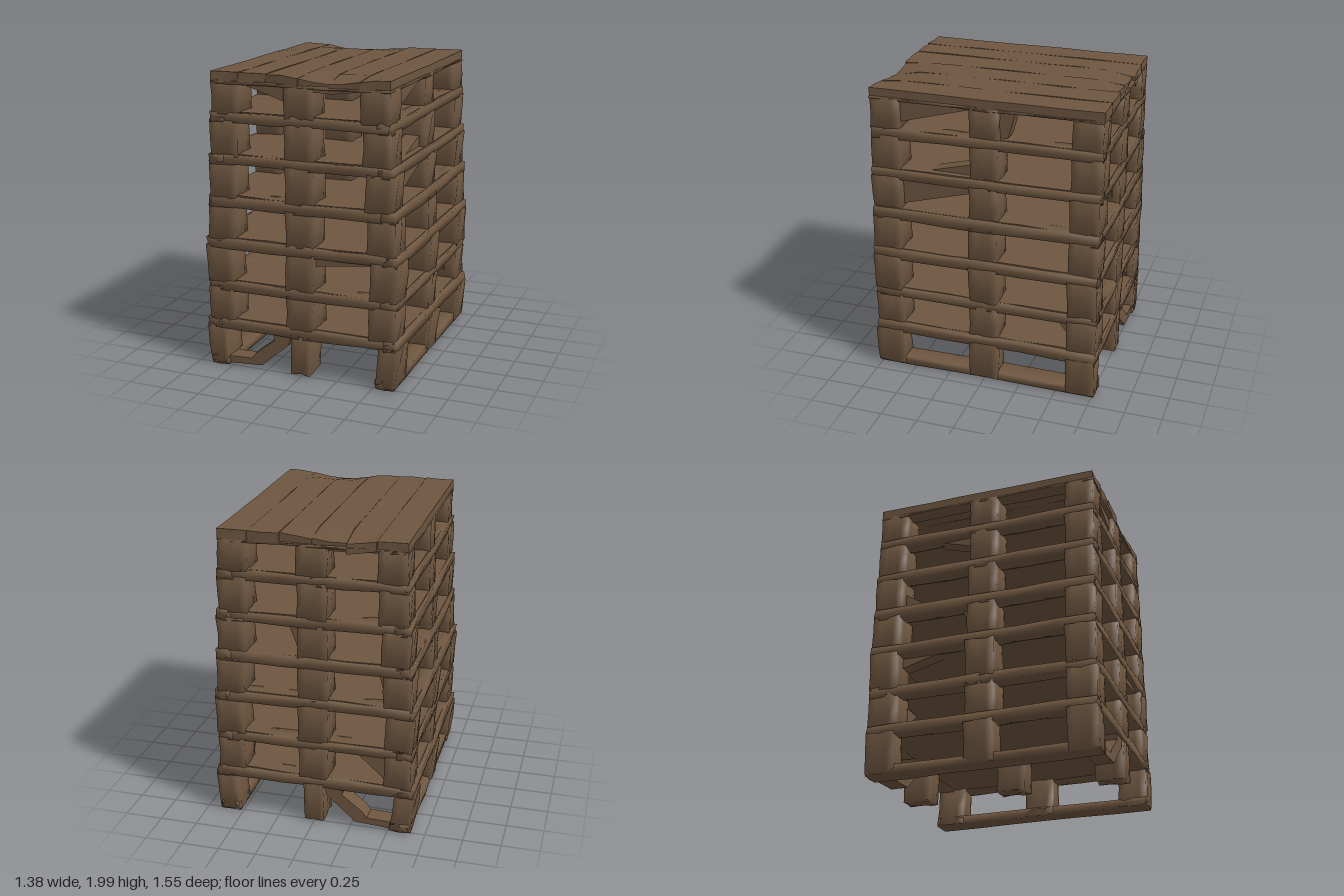
import * as THREE from 'three';
import { mergeVertices, toCreasedNormals } from 'three/addons/utils/BufferGeometryUtils.js';

// small seeded generator so the wear is always the same
let seed = 11;
const rand = () => {
  seed = (seed * 16807) % 2147483647;
  return seed / 2147483647 - 0.5;
};

// one entry per pallet: deck underside, deck top, half width, block width, outward lean of blocks
const LAYERS = [
  [0.26, 0.335, 0.655, 0.14, 0.028],
  [0.53, 0.60, 0.65, 0.18, 0.005],
  [0.82, 0.895, 0.655, 0.185, 0.018],
  [1.10, 1.18, 0.645, 0.185, 0],
  [1.385, 1.455, 0.625, 0.185, 0.012],
  [1.66, 1.73, 0.612, 0.185, 0.004],
  [1.91, 1.985, 0.605, 0.19, 0],
];
const HZ = 0.768;

// the top deck droops along part of its front and back edges
function droop(x, z) {
  const off = Math.abs(x - (z < 0 ? -0.15 : 0.2)) / 0.36;
  const edge = Math.max(0, (Math.abs(z) - 0.56) / (HZ - 0.56));
  return off < 1 ? 0.04 * Math.min(1, edge) * (0.5 + 0.5 * Math.cos(Math.PI * off)) : 0;
}

export function createModel() {
  seed = 11;
  const model = new THREE.Group();
  model.name = 'palletStack';
  const wood = new THREE.MeshStandardMaterial({ color: 0x6e5640 });
  wood.name = 'weathered brown wood';

  const add = (parent, name, geo) => {
    const mesh = new THREE.Mesh(geo, wood);
    mesh.name = name;
    parent.add(mesh);
  };

  // worn timber between two corners; vertices are nudged, the top may lean along x, edges may droop
  function timber(parent, name, min, max, wear, segs, { soft = true, lean = 0, sag = false } = {}) {
    const size = max.map((v, i) => v - min[i]);
    let g = new THREE.BoxGeometry(...size, ...segs);
    g.translate(...max.map((v, i) => (v + min[i]) / 2));
    g.deleteAttribute('normal');
    g.deleteAttribute('uv');
    g = mergeVertices(g, 1e-4);
    const p = g.attributes.position;
    for (let i = 0; i < p.count; i++) {
      const x = p.getX(i), y = p.getY(i), z = p.getZ(i);
      const drop = sag ? droop(x, z) : 0;
      const shift = lean * (y - min[1]) / size[1];
      p.setXYZ(i, x + shift + rand() * wear[0], y - drop + rand() * wear[1], z + rand() * wear[2]);
    }
    g.computeVertexNormals();
    add(parent, name, soft ? g : toCreasedNormals(g, 0.7));
  }

  // broken sloping piece: outline in (u, y), pushed from d0 to d1; u runs along x or z
  function splinter(name, pts, axis, d0, d1) {
    const shape = new THREE.Shape(pts.map(([u, y]) => new THREE.Vector2(u, y)));
    const g = new THREE.ExtrudeGeometry(shape, { depth: d1 - d0, bevelEnabled: false });
    g.translate(0, 0, d0);
    if (axis === 'z') g.rotateY(-Math.PI / 2); // u -> z, depth -> -x
    add(model, name, g);
  }

  LAYERS.forEach(([y0, y1, hx, bw, lean], n) => {
    const pallet = new THREE.Group();
    pallet.name = 'pallet' + (n + 1);
    model.add(pallet);
    const floor = n ? LAYERS[n - 1][1] : 0.01;
    const last = n === LAYERS.length - 1;

    // three by three spacer blocks
    for (const i of [-1, 0, 1]) for (const k of [-1, 0, 1]) {
      const w = i ? bw : (n ? 0.195 : 0.13);
      const d = 0.195;
      const cx = i * (hx - bw / 2), cz = k * (HZ - d / 2);
      timber(pallet, 'block',
        [cx - w / 2, floor - (n ? 0.015 : 0), cz - d / 2],
        [cx + w / 2, y0 + 0.015, cz + d / 2], [0.012, 0.01, 0.01], [4, 2, 4], { lean: i * lean });
    }

    // rounded rails around the deck edge
    const railTop = y1 - (last ? 0.055 : 0.004);
    for (const k of [-1, 1]) {
      const z = k * (HZ - 0.055);
      timber(pallet, 'crossRail', [0.02 - hx, y0, z - 0.055], [hx - 0.02, railTop, z + 0.055],
        [0.01, 0.01, 0.012], [6, 2, 2]);
    }
    for (const s of [-1, 1]) {
      const x = s * (hx + lean / 2 - 0.05);
      timber(pallet, 'sideRail', [x - 0.05, y0, -HZ], [x + 0.05, railTop, HZ], [0.015, 0.01, 0.01], [2, 2, 6]);
    }

    if (last) {
      // top deck boards running front to back
      const cuts = [-0.605, -0.41, -0.22, 0, 0.205, 0.41, 0.605];
      for (let b = 0; b < 6; b++) {
        const back = b === 2 || b === 3 ? 0.75 : HZ;
        timber(pallet, 'deckBoard', [cuts[b] + 0.001, y0 + 0.015, -back], [cuts[b + 1] - 0.001, y1, HZ],
          [0.001, 0.006, 0.012], [2, 1, 8], { soft: false, sag: true });
      }
    } else {
      // closed deck carrying the next pallet
      timber(pallet, 'deck', [0.015 - hx, y0 + 0.012, 0.015 - HZ], [hx - 0.015, y1, HZ - 0.015],
        [0.008, 0.01, 0.01], [6, 1, 6], { soft: false });
    }
  });

  // ground runners on both sides
  for (const s of [-1, 1]) {
    const x = s * 0.585;
    timber(model, 'groundRunner', [x - 0.065, 0, -HZ], [x + 0.065, 0.06, HZ], [0.012, 0.008, 0.01], [2, 2, 6]);
  }

  // bent boards at the lower left, front and back
  for (const k of [-1, 1]) {
    splinter('bentBoard', [[-0.6, 0.01], [-0.28, 0.03], [-0.25, 0.06], [-0.09, 0.2], [-0.07, 0.26],
      [-0.2, 0.26], [-0.19, 0.22], [-0.33, 0.11], [-0.36, 0.07], [-0.6, 0.06]], 'x', k * 0.7 - 0.06, k * 0.7 + 0.06);
  }

  // sagging pieces seen through the front openings
  const across = (pts, z) => splinter('saggingBoard', pts, 'x', z - 0.06, z + 0.06);
  across([[-0.43, 1.92], [-0.09, 1.81], [-0.09, 1.92]], 0.68);
  across([[0.09, 0.76], [0.48, 0.81], [0.48, 0.83], [0.09, 0.83]], 0.68);
  across([[-0.48, 0.33], [-0.46, 0.36], [-0.27, 0.53], [-0.48, 0.53]], -0.66);
  across([[0.07, 1.18], [0.1, 1.2], [0.17, 1.39], [0.07, 1.39]], -0.66);
  across([[-0.47, 0.92], [-0.42, 1.11], [-0.47, 1.11]], -0.66);

  // sagging pieces seen through the side openings
  const side = (pts, s) => splinter('saggingBoard', pts, 'z', s * 0.52 - 0.05, s * 0.52 + 0.05);
  side([[0.6, 1.76], [0.09, 1.9], [0.09, 1.93], [0.6, 1.93]], -1);
  side([[0.6, 1.19], [0.09, 1.33], [0.09, 1.4], [0.6, 1.4]], -1);
  side([[0.6, 1.4], [0.09, 1.45], [0.09, 1.53]], -1);
  side([[-0.59, 1.18], [-0.38, 1.18], [-0.59, 1.31]], 1);
  side([[-0.09, 0.9], [-0.15, 1.1], [-0.09, 1.1]], 1);
  side([[-0.09, 1.72], [-0.15, 1.74], [-0.2, 1.92], [-0.09, 1.92]], -1);
  side([[-0.09, 1.67], [-0.35, 1.67], [-0.09, 1.59]], 1);
  side([[-0.59, 0.36], [-0.46, 0.54], [-0.59, 0.54]], -1);
  side([[-0.3, 0.83], [-0.59, 0.83], [-0.59, 0.75]], 1);

  return model;
}
